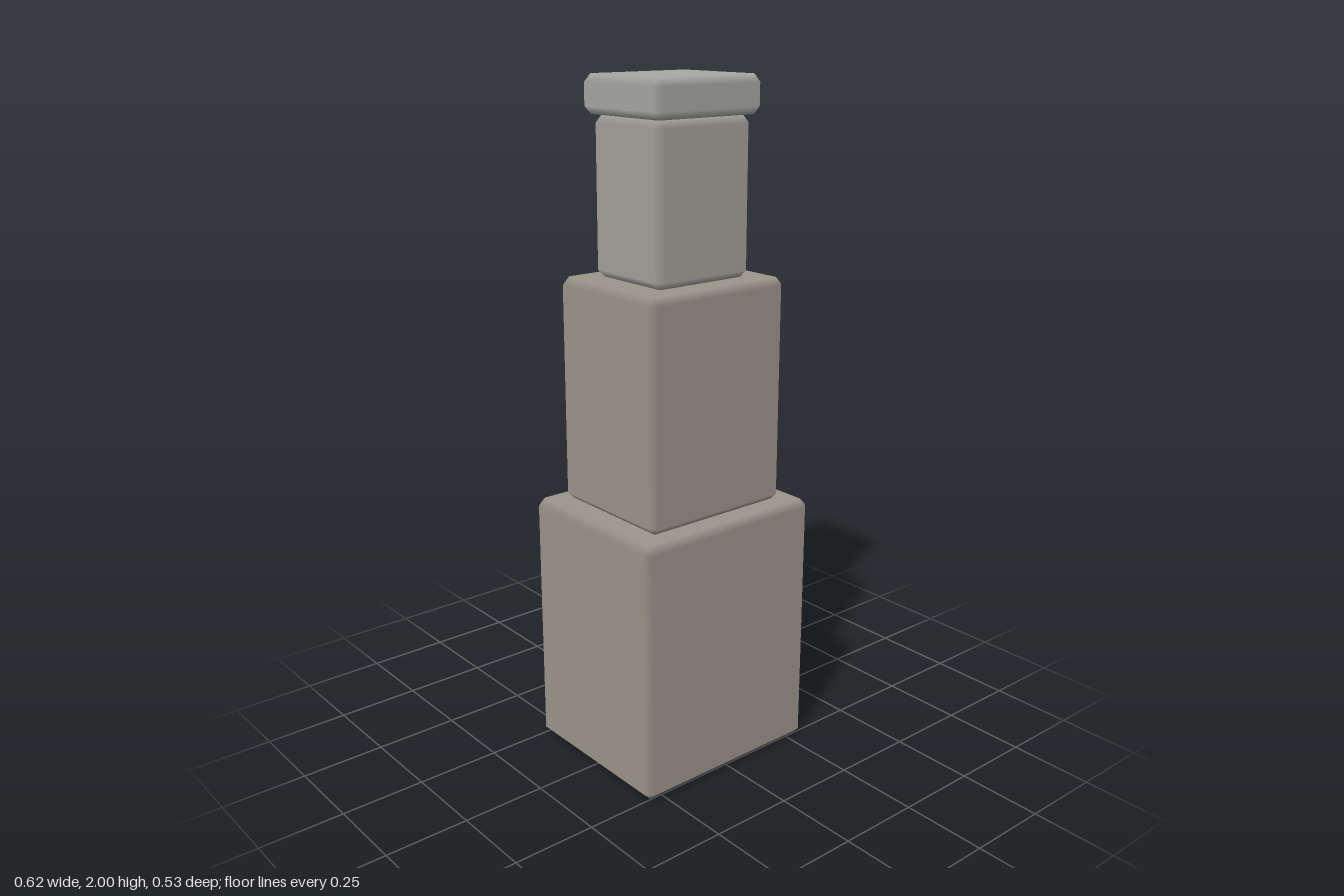
import * as THREE from 'three';
import { ConvexGeometry } from 'three/addons/geometries/ConvexGeometry.js';

const BEVEL = 0.022;

// Box with bevelled edges and corners; normals blend across the bevels only.
function bevelledBox(hx, hy, hz) {
  const half = [hx, hy, hz];
  const points = [];
  for (const sx of [-1, 1]) for (const sy of [-1, 1]) for (const sz of [-1, 1]) {
    for (let axis = 0; axis < 3; axis++) {
      const p = [sx, sy, sz].map((s, i) => s * (half[i] - (i === axis ? 0 : BEVEL)));
      points.push(new THREE.Vector3(...p));
    }
  }
  const geometry = new ConvexGeometry(points);

  // Each corner point takes the normal of the main face it lies on.
  const pos = geometry.attributes.position;
  const normal = geometry.attributes.normal;
  for (let i = 0; i < pos.count; i++) {
    const p = [pos.getX(i), pos.getY(i), pos.getZ(i)];
    const n = p.map((v, k) => (Math.abs(v) > half[k] - BEVEL / 2 ? Math.sign(v) : 0));
    normal.setXYZ(i, ...n);
  }
  return geometry;
}

export function createModel() {
  const group = new THREE.Group();
  group.name = 'steppedTower';

  const stone = new THREE.MeshStandardMaterial({ color: 0x9c968c });
  const paleStone = new THREE.MeshStandardMaterial({ color: 0xa4a29b });
  const capStone = new THREE.MeshStandardMaterial({ color: 0xa8a8a4 });

  // name, half width, half depth, bottom, top, material
  const blocks = [
    ['baseBlock', 0.31, 0.267, 0, 0.782, stone],
    ['middleBlock', 0.243, 0.211, 0.782, 1.447, stone],
    ['upperBlock', 0.167, 0.146, 1.447, 1.893, paleStone],
    ['capSlab', 0.188, 0.167, 1.893, 2, capStone],
  ];
  for (const [name, hx, hz, bottom, top, material] of blocks) {
    const mesh = new THREE.Mesh(bevelledBox(hx, (top - bottom) / 2, hz), material);
    mesh.name = name;
    mesh.position.y = (bottom + top) / 2;
    group.add(mesh);
  }
  return group;
}
